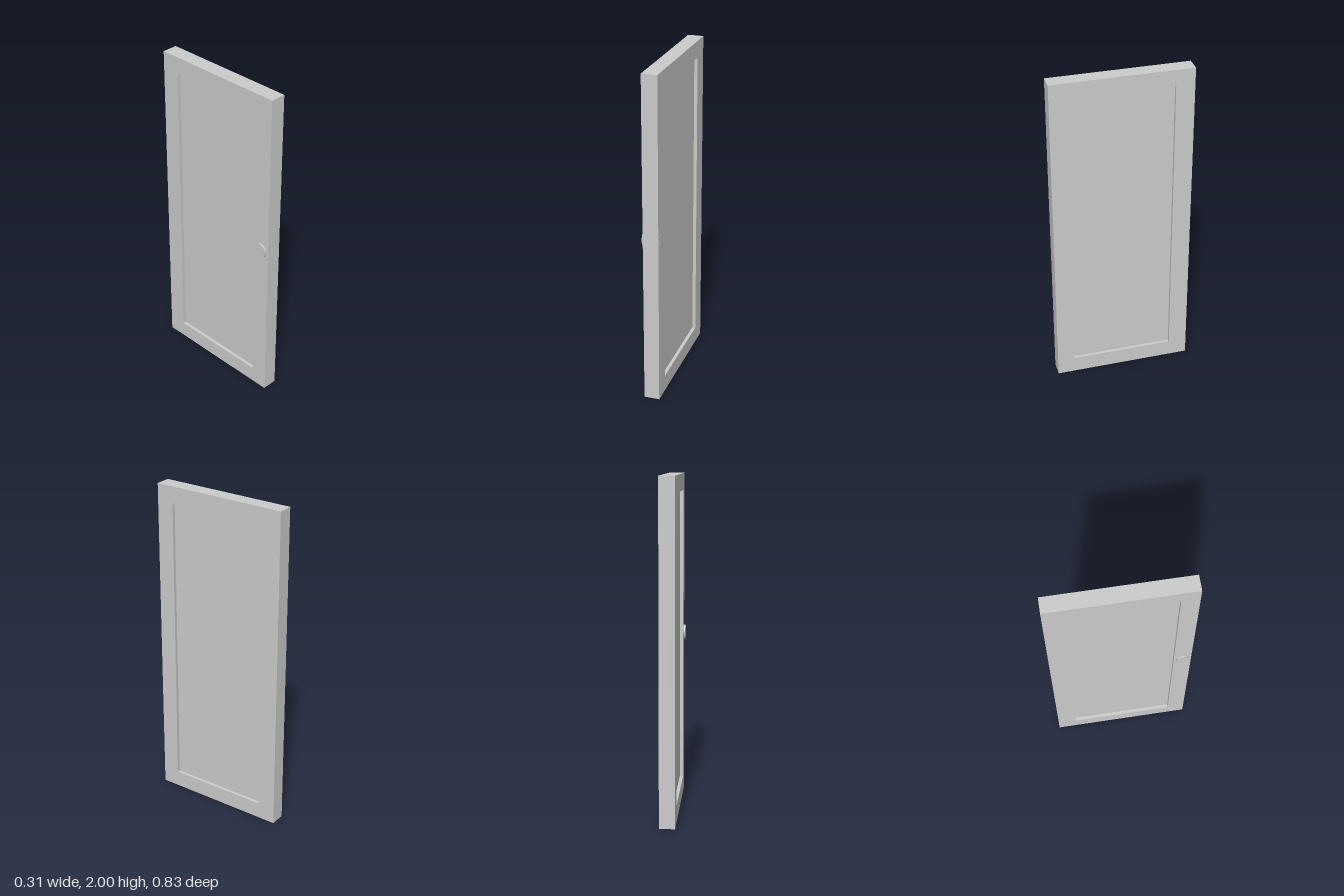
import * as THREE from 'three';

const HALF_W = 0.418, HEIGHT = 2, THICK = 0.093;
const OPEN = { x0: -0.306, x1: 0.314, y0: 0.1, y1: 1.9 };
const RECESS = 0.02;

// Closed rectangle outline for shapes and holes
function rect(Type, x0, y0, x1, y1) {
  return new Type([[x0, y0], [x1, y0], [x1, y1], [x0, y1]].map(p => new THREE.Vector2(...p)));
}

export function createModel() {
  const model = new THREE.Group();
  model.name = 'model';
  const material = new THREE.MeshStandardMaterial({ color: 0xcccccc });

  const door = new THREE.Group();
  door.name = 'door';
  door.rotation.y = THREE.MathUtils.degToRad(-75); // swung ajar
  model.add(door);

  const add = (name, geometry) => {
    const mesh = new THREE.Mesh(geometry, material);
    mesh.name = name;
    door.add(mesh);
    return mesh;
  };

  // Outer frame with a rectangular opening
  const outline = rect(THREE.Shape, -HALF_W, 0, HALF_W, HEIGHT);
  outline.holes.push(rect(THREE.Path, OPEN.x0, OPEN.y0, OPEN.x1, OPEN.y1));
  const frame = add('frame', new THREE.ExtrudeGeometry(outline, { depth: THICK, bevelEnabled: false }));
  frame.position.z = -THICK / 2;

  // Panel recessed on both faces
  const panel = add('panel', new THREE.BoxGeometry(
    OPEN.x1 - OPEN.x0, OPEN.y1 - OPEN.y0, THICK - 2 * RECESS));
  panel.position.set((OPEN.x0 + OPEN.x1) / 2, (OPEN.y0 + OPEN.y1) / 2, 0);

  // Slightly oval knob: flush on one face, standing proud of the other
  const back = -THICK / 2 - 0.0005, front = THICK / 2 + 0.0115;
  const knobGeometry = new THREE.CylinderGeometry(1, 1, front - back, 24);
  knobGeometry.rotateX(Math.PI / 2);
  knobGeometry.scale(0.039, 0.045, 1);
  const knob = add('knob', knobGeometry);
  knob.position.set(0.365, 1.02, (front + back) / 2);

  return model;
}
